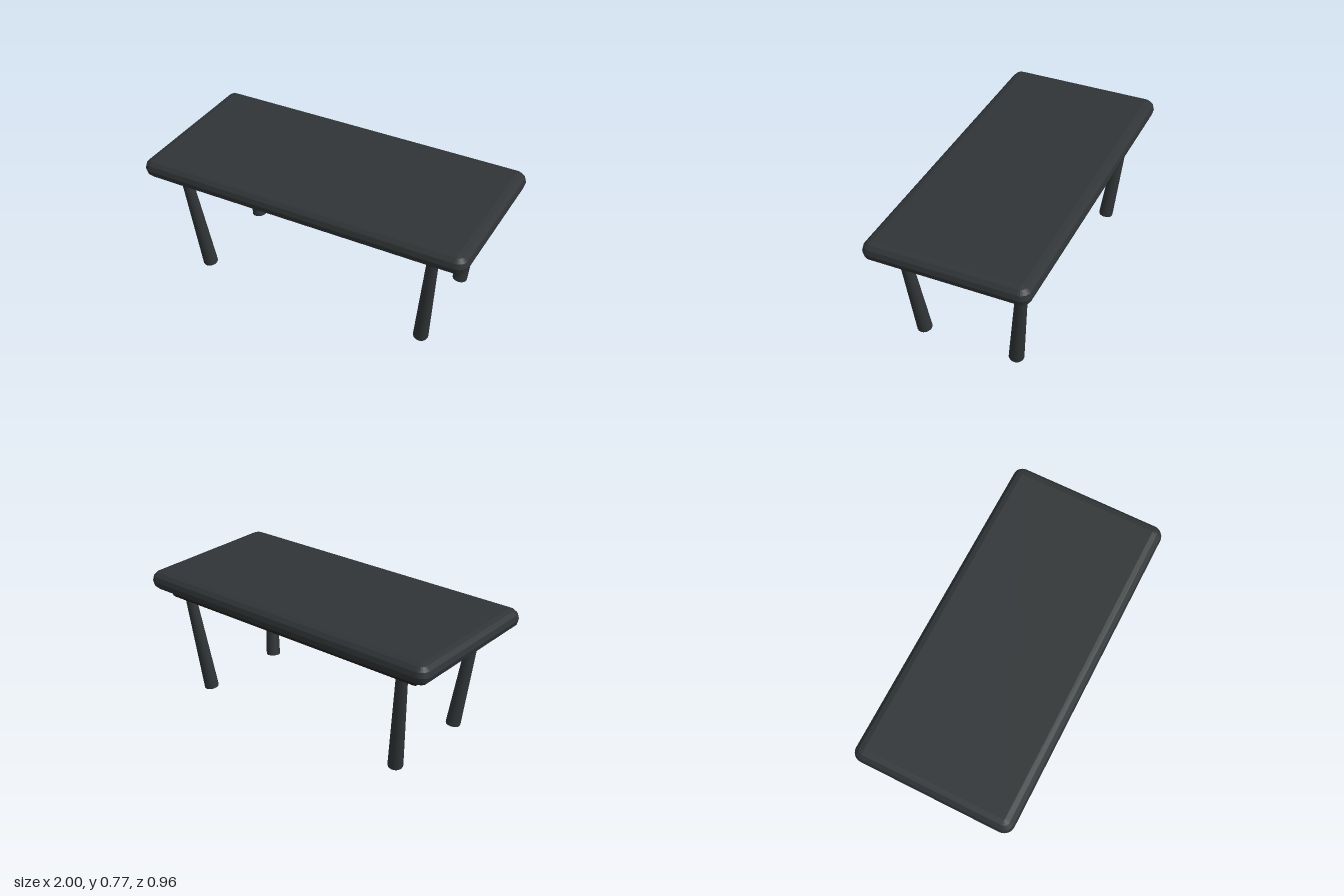
import * as THREE from 'three';

// Slab with rounded plan corners and rounded upper and lower edges
function roundedSlab(halfX, halfZ, yBottom, yTop, radius, steps) {
  const r = radius + 0.003; // keeps the bevelled corner from collapsing
  const s = new THREE.Shape();
  s.absarc(halfX - r, halfZ - r, r, 0, Math.PI / 2);
  s.absarc(-halfX + r, halfZ - r, r, Math.PI / 2, Math.PI);
  s.absarc(-halfX + r, -halfZ + r, r, Math.PI, Math.PI * 1.5);
  s.absarc(halfX - r, -halfZ + r, r, Math.PI * 1.5, Math.PI * 2);
  const geometry = new THREE.ExtrudeGeometry(s, {
    depth: yTop - yBottom - 2 * radius,
    bevelThickness: radius,
    bevelSize: radius,
    bevelOffset: -radius,
    bevelSegments: steps,
    curveSegments: steps,
  });
  geometry.rotateX(-Math.PI / 2);
  geometry.translate(0, yBottom + radius, 0);
  return geometry;
}

export function createModel() {
  const table = new THREE.Group();
  table.name = 'table';

  const topMaterial = new THREE.MeshStandardMaterial({ color: 0x303436, flatShading: true });
  const apronMaterial = new THREE.MeshStandardMaterial({ color: 0x24201d, flatShading: true });
  const legMaterial = new THREE.MeshStandardMaterial({ color: 0x303436 });

  const add = (name, geometry, material) => {
    const mesh = new THREE.Mesh(geometry, material);
    mesh.name = name;
    table.add(mesh);
    return mesh;
  };

  // Thick pillow-edged top and the thinner panel beneath it
  add('tableTop', roundedSlab(1, 0.48, 0.654, 0.771, 0.058, 3), topMaterial);
  add('underPanel', roundedSlab(0.9, 0.4, 0.605, 0.67, 0.022, 3), apronMaterial);

  // Legs lean outward towards the top and thicken towards the foot
  const foot = new THREE.Vector3(0.71, 0.006, 0.287);
  const head = new THREE.Vector3(0.781, 0.635, 0.355);
  const length = foot.distanceTo(head);
  const profile = [[0, 0], [0.039, 0], [0.0425, 0.0015], [0.044, 0.006], [0.0315, length], [0, length]]
    .map(([x, y]) => new THREE.Vector2(x, y));
  const legGeometry = new THREE.LatheGeometry(profile, 24);
  const up = new THREE.Vector3(0, 1, 0);

  for (const [sx, side] of [[1, 'Left'], [-1, 'Right']]) {
    for (const [sz, end] of [[1, 'front'], [-1, 'back']]) {
      const mirror = new THREE.Vector3(sx, 1, sz);
      const base = foot.clone().multiply(mirror);
      const axis = head.clone().multiply(mirror).sub(base).normalize();
      const leg = add(`${end}${side}Leg`, legGeometry, legMaterial);
      leg.position.copy(base);
      leg.quaternion.setFromUnitVectors(up, axis);
    }
  }
  return table;
}
